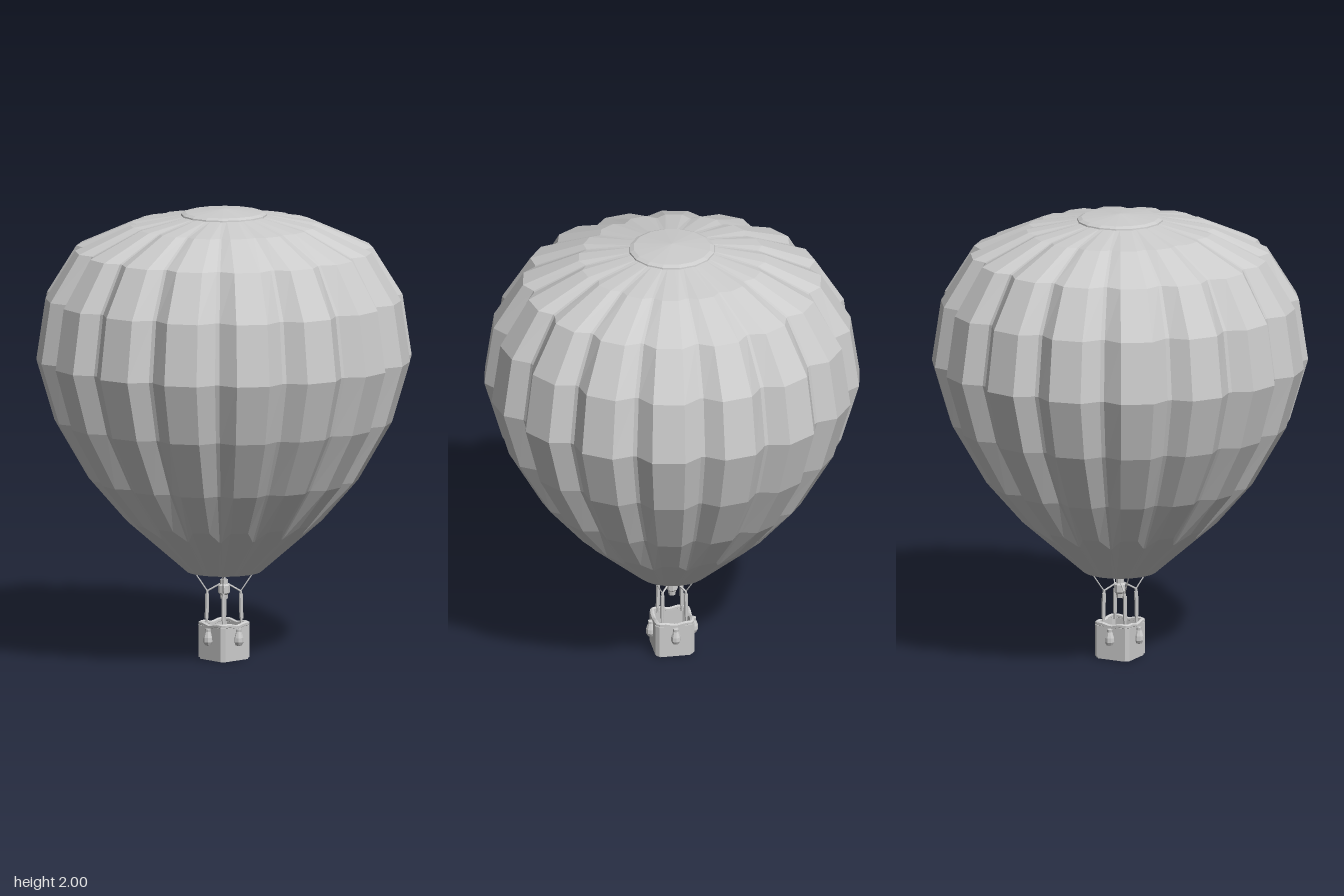
import * as THREE from 'three';

const mat = new THREE.MeshStandardMaterial({ color: 0xcccccc, flatShading: true, side: THREE.DoubleSide });

function add(parent, name, geo, x = 0, y = 0, z = 0) {
  const mesh = new THREE.Mesh(geo, mat);
  mesh.name = name;
  mesh.position.set(x, y, z);
  parent.add(mesh);
  return mesh;
}

// thin round bar between two points
function bar(parent, name, a, b, r, sides = 6) {
  const va = new THREE.Vector3(...a), vb = new THREE.Vector3(...b);
  const dir = vb.clone().sub(va);
  const mesh = add(parent, name, new THREE.CylinderGeometry(r, r, dir.length(), sides));
  mesh.position.copy(va).add(vb).multiplyScalar(0.5);
  mesh.quaternion.setFromUnitVectors(new THREE.Vector3(0, 1, 0), dir.normalize());
}

// sixteen bulging gores: each has two outer ridges and a creased seam either side
function envelopeGeometry() {
  // ridge height, ridge radius, seam height, seam radius
  const rows = [
    [0.39, 0.165, 0.39, 0.165],
    [0.625, 0.435, 0.575, 0.375],
    [0.81, 0.595, 0.81, 0.55],
    [1.07, 0.745, 1.07, 0.692],
    [1.34, 0.825, 1.34, 0.768],
    [1.61, 0.785, 1.61, 0.73],
    [1.82, 0.655, 1.82, 0.615],
    [1.93, 0.41, 1.928, 0.385],
    [1.972, 0.175, 1.972, 0.175],
  ];
  const gores = 16, step = 22.5;
  const columns = [[0.7, true], [6.2, false], [16.3, false], [21.8, true]];
  const n = gores * columns.length;
  const pos = [], index = [];
  for (const [yr, rr, ys, rs] of rows) {
    for (let g = 0; g < gores; g++) {
      for (const [deg, seam] of columns) {
        const a = THREE.MathUtils.degToRad(g * step + deg);
        const r = seam ? rs : rr;
        pos.push(r * Math.sin(a), seam ? ys : yr, r * Math.cos(a));
      }
    }
  }
  for (let j = 0; j < rows.length - 1; j++) {
    for (let i = 0; i < n; i++) {
      const k = (i + 1) % n;
      const a = j * n + i, b = j * n + k, c = b + n, d = a + n;
      index.push(a, b, c, a, c, d);
    }
  }
  const geo = new THREE.BufferGeometry();
  geo.setAttribute('position', new THREE.Float32BufferAttribute(pos, 3));
  geo.setIndex(index);
  geo.computeVertexNormals();
  return geo;
}

// square outline with cut corners
function squareOutline(h, c) {
  return [[h, -h + c], [h, h - c], [h - c, h], [-h + c, h], [-h, h - c], [-h, -h + c], [-h + c, -h], [h - c, -h]]
    .map(([x, y]) => new THREE.Vector2(x, y));
}

function extrudeUp(shape, depth) {
  return new THREE.ExtrudeGeometry(shape, { depth, bevelEnabled: false }).rotateX(-Math.PI / 2);
}

function lathe(points, sides) {
  return new THREE.LatheGeometry(points.map(p => new THREE.Vector2(...p)), sides);
}

export function createModel() {
  const model = new THREE.Group();
  model.name = 'hotAirBalloon';

  // envelope and crown cap
  add(model, 'envelope', envelopeGeometry());
  add(model, 'crownCap', lathe([[0.19, 1.966], [0.188, 1.976], [0.17, 1.984], [0, 2.0]], 16));

  // basket with floor, walls and a rim raised at the corners
  const basket = new THREE.Group();
  basket.name = 'basket';
  model.add(basket);
  const walls = new THREE.Shape(squareOutline(0.087, 0.016));
  walls.holes.push(new THREE.Path(squareOutline(0.073, 0.012).reverse()));
  add(basket, 'basketWalls', extrudeUp(walls, 0.142), 0, 0.008, 0);
  add(basket, 'basketFloor', extrudeUp(new THREE.Shape(squareOutline(0.082, 0.016)), 0.016));
  const up = new THREE.Vector3(0, 1, 0);
  const rimPoints = [];
  for (let i = 0; i < 4; i++) {
    for (const [x, z, y] of [[0.08, -0.045, 0.158], [0.08, 0, 0.149], [0.08, 0.045, 0.158], [0.074, 0.074, 0.157]]) {
      rimPoints.push(new THREE.Vector3(x, y, z).applyAxisAngle(up, -i * Math.PI / 2));
    }
  }
  add(basket, 'basketRim', new THREE.TubeGeometry(new THREE.CatmullRomCurve3(rimPoints, true), 48, 0.01, 6, true));

  // a sandbag hung on each side
  const bag = lathe([[0, 0.066], [0.014, 0.07], [0.022, 0.085], [0.021, 0.104], [0.012, 0.13], [0.013, 0.142], [0, 0.144]], 8);
  for (let i = 0; i < 4; i++) {
    const a = i * Math.PI / 2;
    add(basket, 'sandbag', bag, 0.095 * Math.sin(a), 0, 0.095 * Math.cos(a)).rotation.y = a;
  }

  // corner posts, burner braces and suspension cables
  for (const sx of [-1, 1]) {
    for (const sz of [-1, 1]) {
      const at = (d, y) => [sx * d, y, sz * d];
      bar(model, 'post', at(0.054, 0.15), at(0.052, 0.3), 0.006);
      bar(model, 'postSleeve', at(0.054, 0.178), at(0.052, 0.288), 0.009);
      bar(model, 'burnerBrace', at(0.052, 0.3), at(0.012, 0.332), 0.004);
      bar(model, 'cable', at(0.052, 0.3), at(0.118, 0.44), 0.003, 5);
    }
  }

  // burner
  add(model, 'burner', lathe([
    [0, 0.265], [0.016, 0.265], [0.018, 0.285], [0.026, 0.293], [0.026, 0.325],
    [0.018, 0.332], [0.018, 0.352], [0.012, 0.352], [0.012, 0.335], [0, 0.335],
  ], 8));

  return model;
}
